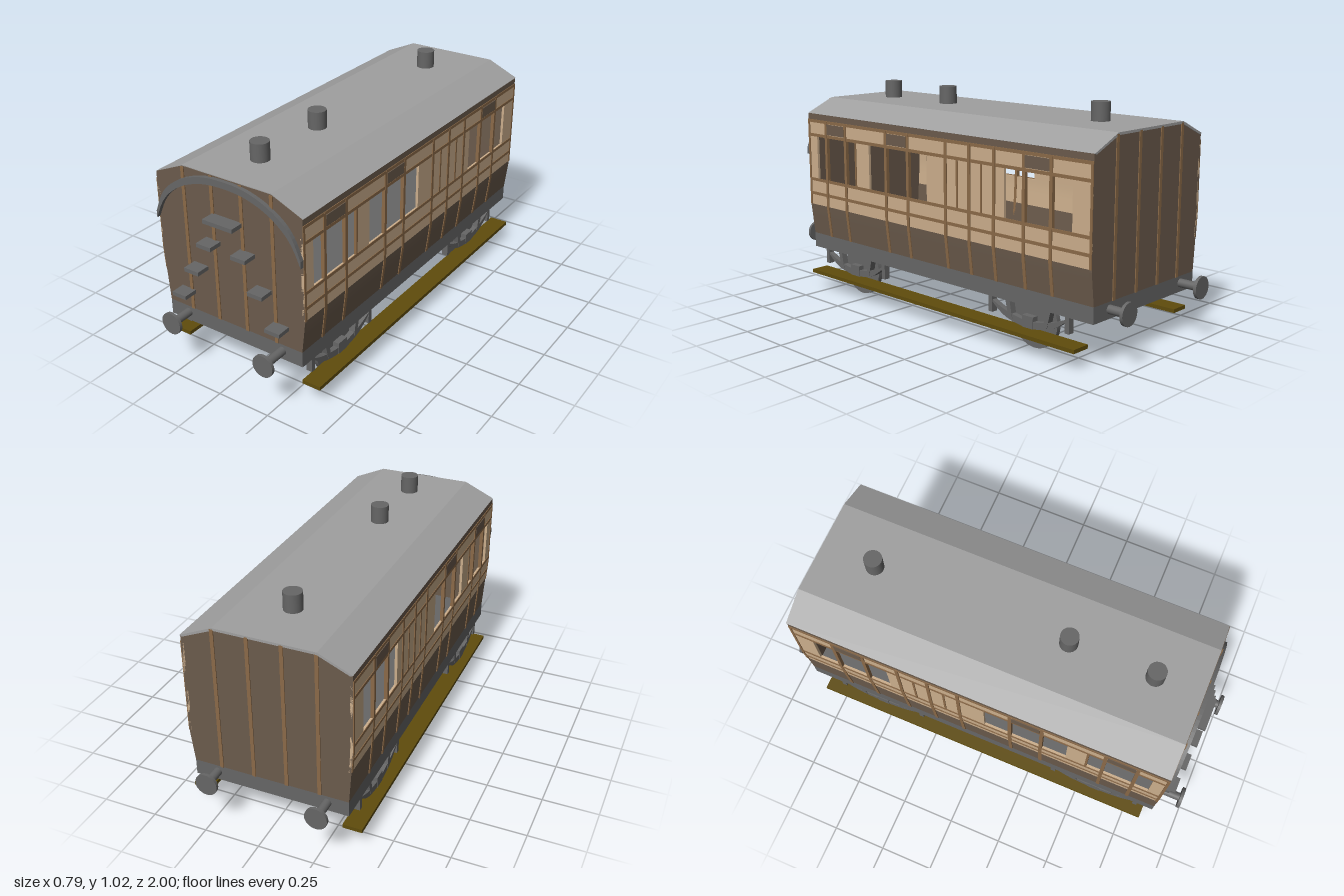
import * as THREE from 'three';

const mat = (name, color) => {
  const m = new THREE.MeshStandardMaterial({ color });
  m.name = name;
  return m;
};
const CX = -0.012, FRONT = 0.872, BACK = -0.89;

export function createModel() {
  const root = new THREE.Group();
  root.name = 'railwayCarriage';
  const brown = mat('dark brown', 0x6b5b4c), cream = mat('cream', 0xcbae8c);
  const trim = mat('light brown trim', 0x8b6a48), grey = mat('iron grey', 0x666666);
  const roofGrey = mat('roof grey', 0xa0a0a0), olive = mat('footboard olive', 0x5f4c0c);

  const add = (name, geo, material, parent = root) => {
    const m = new THREE.Mesh(geo, material);
    m.name = name;
    parent.add(m);
    return m;
  };
  // box given by its extents
  const box = (name, x0, x1, y0, y1, z0, z1, material, parent) =>
    add(name, new THREE.BoxGeometry(x1 - x0, y1 - y0, z1 - z0)
      .translate((x0 + x1) / 2, (y0 + y1) / 2, (z0 + z1) / 2), material, parent);
  // outline in x and y, extruded from z0 to z1
  const slab = (name, pts, z0, z1, material, parent) =>
    add(name, new THREE.ExtrudeGeometry(new THREE.Shape(pts.map(p => new THREE.Vector2(...p))),
      { depth: z1 - z0, bevelEnabled: false }).translate(0, 0, z0), material, parent);
  // outline in z and y, extruded from x0 to x1
  const sideSlab = (name, pts, x0, x1, material, parent) =>
    add(name, new THREE.ExtrudeGeometry(new THREE.Shape(pts.map(p => new THREE.Vector2(...p))),
      { depth: x1 - x0, bevelEnabled: false }).rotateY(-Math.PI / 2).translate(x1, 0, 0), material, parent);
  const spline = (pts, n = 24) => new THREE.SplineCurve(pts.map(p => new THREE.Vector2(...p)))
    .getPoints(n).map(p => [p.x, p.y]);

  // Chassis
  box('chassis', -0.36, 0.338, 0.197, 0.268, BACK, FRONT, grey);

  // Ends with vertical battens
  const outline = [[-0.36, 0.268], [0.338, 0.268], [0.355, 0.41], [0.355, 0.873],
    [0.21, 0.935], [-0.235, 0.935], [-0.378, 0.873], [-0.378, 0.52]];
  slab('frontEnd', outline, FRONT - 0.012, FRONT, brown);
  slab('backEnd', outline, BACK, BACK + 0.012, brown);
  for (const x of [-0.232, -0.086, 0.062, 0.212]) {
    const top = 0.932;
    box('frontBatten', x - 0.008, x + 0.008, 0.268, top, FRONT, FRONT + 0.004, trim);
    box('backBatten', x - 0.008, x + 0.008, 0.268, top, BACK - 0.004, BACK, trim);
  }

  // Roof shell
  const roofTop = [[0.357, 0.873], [0.21, 0.938], [-0.235, 0.938], [-0.38, 0.873]];
  const roofUnder = [[-0.368, 0.868], [-0.233, 0.927], [0.208, 0.927], [0.345, 0.868]];
  slab('roof', [...roofTop, ...roofUnder], BACK - 0.004, FRONT - 0.002, roofGrey);

  // Side walls follow the tumblehome
  const sides = [
    { s: 1, foot: 0.338, wide: 0.355, knee: 0.41 },
    { s: -1, foot: 0.36, wide: 0.378, knee: 0.52 },
  ];
  const battens = [0.735, 0.59, 0.3, 0.152, -0.09, -0.232, -0.375, -0.54, -0.683];
  for (const { s, foot, wide, knee } of sides) {
    const side = new THREE.Group();
    side.name = s > 0 ? 'leftSide' : 'rightSide';
    root.add(side);
    // panel bent to the wall curve, from inner to outer offset
    const panel = (name, y0, y1, z0, z1, inner, outer, material) => {
      const g = new THREE.BoxGeometry(outer - inner, y1 - y0, z1 - z0, 1, 4, 1);
      g.translate((inner + outer) / 2, (y0 + y1) / 2, (z0 + z1) / 2);
      const p = g.attributes.position;
      for (let i = 0; i < p.count; i++) {
        const t = THREE.MathUtils.clamp((p.getY(i) - 0.268) / (knee - 0.268), 0, 1);
        p.setX(i, s * (foot + (wide - foot) * t) + s * (s > 0 ? p.getX(i) : p.getX(i)));
      }
      if (s < 0) { // mirrored faces need their corners reversed
        const ix = g.index;
        for (let i = 0; i < ix.count; i += 3) {
          const a = ix.getX(i);
          ix.setX(i, ix.getX(i + 2));
          ix.setX(i + 2, a);
        }
      }
      g.computeVertexNormals();
      return add(name, g, material, side);
    };
    const wall = (name, y0, y1, z0, z1, m) => panel(name, y0, y1, z0, z1, -0.012, 0, m);
    wall('lowerPanel', 0.268, 0.42, BACK, FRONT, brown);
    wall('waistPanel', 0.42, 0.55, BACK, FRONT, cream);
    wall('upperPanel', 0.765, 0.838, BACK, FRONT, cream);
    wall('cantRail', 0.838, 0.873, BACK, FRONT, brown);
    for (const [z0, z1] of [[0.808, FRONT], [0.42, 0.515], [-0.432, 0.03], [BACK, -0.79]])
      wall('windowPier', 0.55, 0.765, z0, z1, cream);
    // horizontal and vertical trim
    for (const y of [0.477, 0.547, 0.768, 0.837])
      panel('rail', y - 0.007, y + 0.007, BACK, FRONT, 0, 0.003, trim);
    for (const z of battens)
      panel('batten', 0.268, 0.84, z - 0.008, z + 0.008, -0.012, 0.004, trim);
    for (const z of [0.515, -0.16, -0.303])
      panel('shortBatten', 0.55, 0.765, z - 0.005, z + 0.005, -0.008, 0.003, trim);
    for (const z of [FRONT - 0.006, BACK + 0.006])
      panel('cornerBatten', 0.42, 0.84, z - 0.006, z + 0.006, 0, 0.003, trim);
    // ventilator plates over the doors
    for (const z of [0.6625, 0.226, -0.6115])
      panel('doorVentilator', 0.778, 0.828, z - 0.064, z + 0.064, 0, 0.005, brown);
  }

  // Roof ventilators
  for (const z of [0.655, 0.268, -0.636])
    add('roofVent', new THREE.CylinderGeometry(0.041, 0.041, 0.13, 24).translate(CX, 0.954, z), grey);

  // Curved rain strip on the front end
  const arc = pts => spline([...pts.slice(1).reverse().map(([x, y]) => [CX - x, y]),
    ...pts.map(([x, y]) => [CX + x, y])], 40);
  const outer = arc([[0, 0.932], [0.1, 0.925], [0.2, 0.893], [0.28, 0.843], [0.33, 0.785], [0.367, 0.7]]);
  const inner = arc([[0, 0.903], [0.1, 0.895], [0.2, 0.862], [0.28, 0.808], [0.33, 0.748], [0.367, 0.668]]);
  slab('rainStrip', [...outer, ...inner.reverse()], FRONT, 0.89, grey);

  // Steps up the front end
  for (const [x, y, w] of [[-0.013, 0.759, 0.15], [-0.094, 0.638, 0.074], [0.082, 0.638, 0.074],
    [-0.17, 0.499, 0.074], [0.158, 0.499, 0.074], [-0.25, 0.356, 0.072], [0.237, 0.356, 0.074]])
    box('endStep', x - w / 2, x + w / 2, y - 0.009, y + 0.009, FRONT - 0.005, 0.935, grey);

  // Buffers
  const rod = (name, x, y, z0, z1, r) => add(name,
    new THREE.CylinderGeometry(r, r, Math.abs(z1 - z0), 24).rotateX(Math.PI / 2)
      .translate(x, y, (z0 + z1) / 2), grey);
  for (const [x, zf, zb] of [[-0.264, 0.982, -1], [0.236, 1, -0.988]])
    for (const [end, face] of [[zf, FRONT], [zb, BACK]]) {
      const d = Math.sign(end);
      rod('bufferShank', x, 0.237, face - d * 0.01, end - d * 0.012, 0.019);
      rod('bufferHead', x, 0.237, end - d * 0.014, end, 0.05);
    }

  // Wheels, axles and springs
  for (const z of [0.577, -0.54]) {
    const set = new THREE.Group();
    set.name = 'wheelset';
    set.position.z = z;
    root.add(set);
    add('axle', new THREE.CylinderGeometry(0.013, 0.013, 0.46, 16).rotateZ(Math.PI / 2)
      .translate(-0.009, 0.152, 0), grey, set);
    for (const [wx, x0, x1] of [[-0.29, -0.352, -0.325], [0.272, 0.299, 0.328]]) {
      add('wheel', new THREE.CylinderGeometry(0.124, 0.124, 0.021, 40).rotateZ(Math.PI / 2)
        .translate(wx, 0.125, 0), grey, set);
      sideSlab('leafSpring', [
        ...spline([[-0.2, 0.168], [-0.12, 0.118], [0, 0.098], [0.12, 0.118], [0.2, 0.168]]),
        ...spline([[0.2, 0.178], [0.12, 0.147], [0, 0.128], [-0.12, 0.147], [-0.2, 0.178]])],
        x0 + 0.002, x1 - 0.002, grey, set);
      box('axleBox', x0, x1, 0.098, 0.15, -0.03, 0.03, grey, set);
      for (const d of [-1, 1]) {
        box('springHanger', x0, x1, 0.123, 0.2, d * 0.21 - 0.011, d * 0.21 + 0.011, grey, set);
        const guard = [[d * 0.1, 0.2], [d * 0.125, 0.2], [d * 0.105, 0.12], [d * 0.085, 0.12]];
        sideSlab('axleGuard', d > 0 ? guard.reverse() : guard, x0, x1, grey, set);
      }
    }
  }

  // Running boards
  box('rightFootboard', -0.395, -0.307, 0.078, 0.095, -0.838, 0.832, olive);
  box('leftFootboard', 0.303, 0.391, 0.078, 0.095, -0.838, 0.832, olive);
  return root;
}
